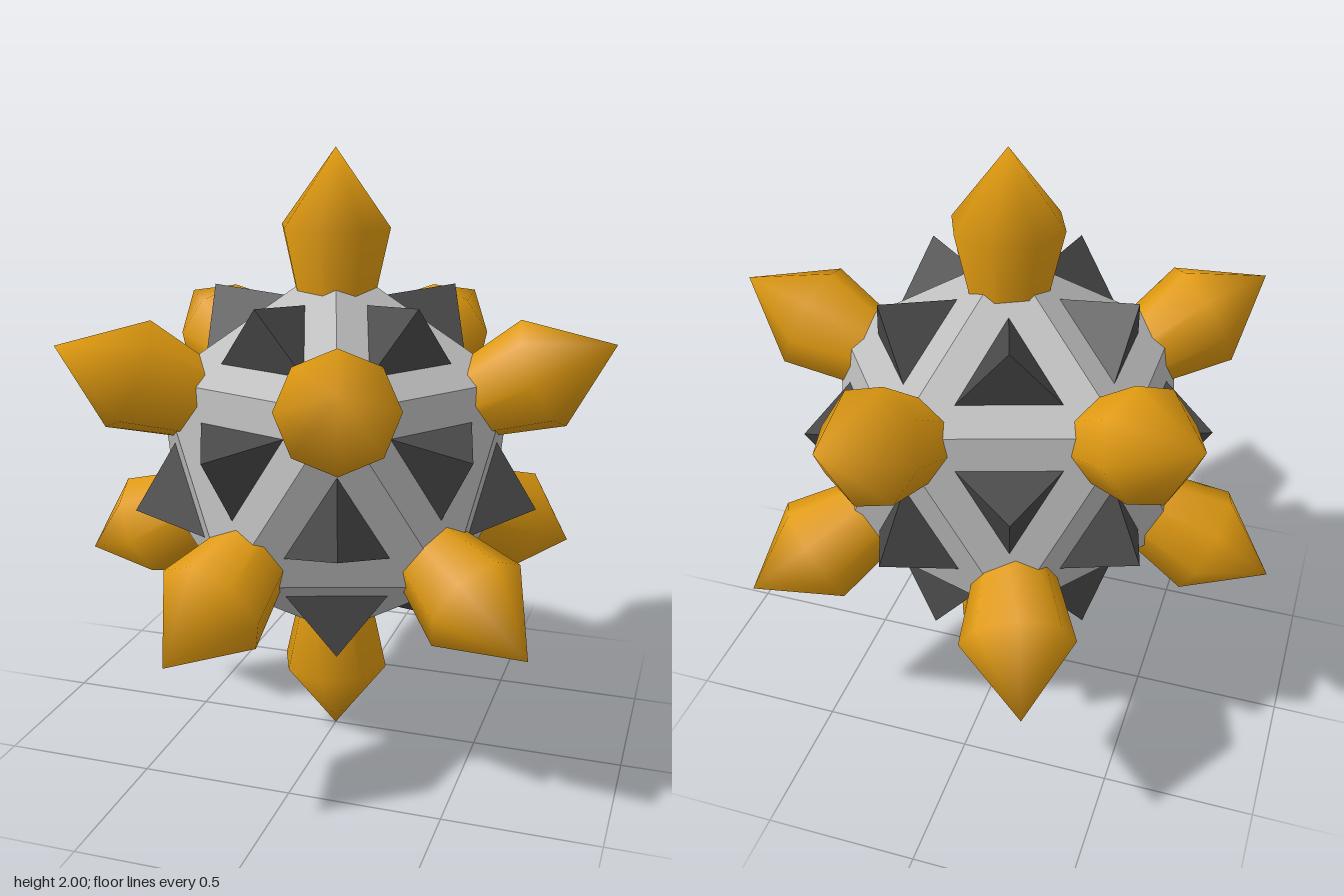
import * as THREE from 'three';
import { mergeVertices } from 'three/addons/utils/BufferGeometryUtils.js';
import { ConvexGeometry } from 'three/addons/geometries/ConvexGeometry.js';

const RADIUS = 0.65;
const RING = Math.atan(0.5); // latitude of the two rings of five corners

function direction(latitude, azimuth) {
  const c = Math.cos(latitude);
  return new THREE.Vector3(c * Math.cos(azimuth), Math.sin(latitude), c * Math.sin(azimuth));
}

// Twelve directions: two poles and two staggered rings of five
function corners(latitude, lowerTwist) {
  const list = [new THREE.Vector3(0, 1, 0), new THREE.Vector3(0, -1, 0)];
  for (let i = 0; i < 5; i++) {
    const a = (i * Math.PI * 2) / 5;
    list.push(direction(latitude, a));
    list.push(direction(-latitude, a + Math.PI + lowerTwist));
  }
  return list;
}

// Turn a mesh so its y axis follows "up" and its z axis leans toward "front"
function orient(mesh, up, front) {
  const x = new THREE.Vector3().crossVectors(up, front).normalize();
  const z = new THREE.Vector3().crossVectors(x, up);
  mesh.quaternion.setFromRotationMatrix(new THREE.Matrix4().makeBasis(x, up, z));
}

// Eight-sided pointed stud, smooth all over, measured from the body's centre
function spikeGeometry() {
  const profile = [[0, 0.3], [0.08, 0.3], [0.182, 0.755], [0, 1]]
    .map(([r, y]) => new THREE.Vector2(r, y));
  const g = new THREE.LatheGeometry(profile, 8);
  g.deleteAttribute('normal');
  g.deleteAttribute('uv');
  const merged = mergeVertices(g, 1e-4);
  merged.computeVertexNormals();
  return merged;
}

export function createModel() {
  const grey = new THREE.MeshStandardMaterial({ color: 0xbcbcbc });
  grey.name = 'light grey';
  const dark = new THREE.MeshStandardMaterial({ color: 0x484848 });
  dark.name = 'dark grey';
  const amber = new THREE.MeshStandardMaterial({ color: 0xe09a10 });
  amber.name = 'amber';

  const model = new THREE.Group();
  const ball = new THREE.Group();
  ball.name = 'spikedBall';
  ball.position.y = 1;
  model.add(ball);

  // Twenty-sided core
  const points = corners(RING, 0).map((v) => v.multiplyScalar(RADIUS));
  const core = new THREE.Mesh(new ConvexGeometry(points), grey);
  core.name = 'core';
  ball.add(core);

  // Three-sided pyramid on every face
  const edge = RADIUS * 1.0515;
  const inset = 0.475;
  const height = 0.175;
  const sunk = 0.002;
  const pyramid = new THREE.ConeGeometry((inset * edge) / Math.sqrt(3), height, 3).toNonIndexed();
  pyramid.computeVertexNormals();
  const touching = (a, b) => a.distanceTo(b) < edge * 1.1;
  for (let i = 0; i < 12; i++) {
    for (let j = i + 1; j < 12; j++) {
      for (let k = j + 1; k < 12; k++) {
        const [a, b, c] = [points[i], points[j], points[k]];
        if (!touching(a, b) || !touching(b, c) || !touching(a, c)) continue;
        const centre = a.clone().add(b).add(c).divideScalar(3);
        const up = centre.clone().normalize();
        const mesh = new THREE.Mesh(pyramid, dark);
        mesh.name = 'facePyramid';
        orient(mesh, up, a.clone().sub(centre));
        mesh.position.copy(centre).addScaledVector(up, height / 2 - sunk);
        ball.add(mesh);
      }
    }
  }

  // Pointed stud on every corner
  const spike = spikeGeometry();
  for (const up of corners(THREE.MathUtils.degToRad(25.2), THREE.MathUtils.degToRad(-2))) {
    const mesh = new THREE.Mesh(spike, amber);
    mesh.name = 'cornerSpike';
    const pole = Math.abs(up.y) > 0.9;
    orient(mesh, up, pole ? new THREE.Vector3(0, 0, 1) : new THREE.Vector3(0, 1, 0));
    ball.add(mesh);
  }
  return model;
}
